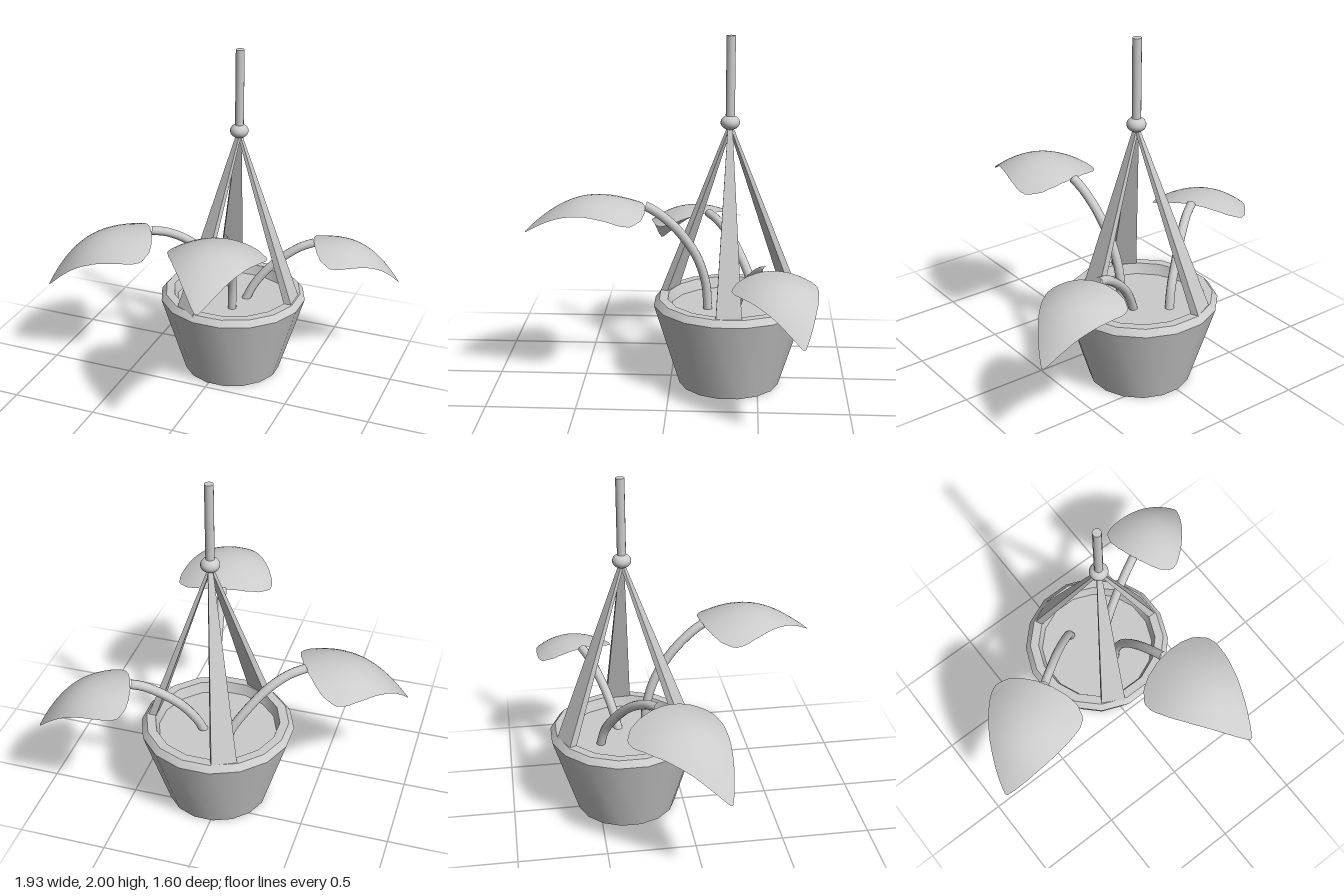
import * as THREE from 'three';
import { toCreasedNormals } from 'three/addons/utils/BufferGeometryUtils.js';

const V = (x, y, z) => new THREE.Vector3(x, y, z);
const material = new THREE.MeshStandardMaterial({ color: 0xcccccc });
const thinMaterial = new THREE.MeshStandardMaterial({ color: 0xcccccc, side: THREE.DoubleSide });

function part(name, geometry, mat = material) {
  const mesh = new THREE.Mesh(geometry, mat);
  mesh.name = name;
  return mesh;
}

// Faceted pot: outer wall, bevelled rim and soil in one profile
function makePot() {
  const profile = [
    [0, 0], [0.288, 0], [0.435, 0.475], [0.405, 0.51],
    [0.355, 0.51], [0.335, 0.45], [0, 0.45],
  ].map(([r, y]) => new THREE.Vector2(r, y));
  const geometry = new THREE.LatheGeometry(profile, 16, Math.PI / 16);
  const pot = part('pot', toCreasedNormals(geometry, 0.55));
  pot.position.set(0.043, 0, -0.335);
  return pot;
}

// Flat strap widening from the knot down to the rim
function makeStrap(top, base) {
  const geometry = new THREE.BoxGeometry(1, 1, 1);
  const p = geometry.attributes.position;
  const out = V(base.x - top.x, 0, base.z - top.z).normalize();
  const side = V(out.z, 0, -out.x);
  for (let i = 0; i < p.count; i++) {
    const t = 0.5 - p.getY(i);
    const v = top.clone().lerp(base, t)
      .addScaledVector(side, p.getX(i) * THREE.MathUtils.lerp(0.025, 0.145, t))
      .addScaledVector(out, p.getZ(i) * THREE.MathUtils.lerp(0.016, 0.045, t));
    p.setXYZ(i, v.x, v.y, v.z);
  }
  geometry.computeVertexNormals();
  return part('strap', geometry);
}

// Half-width of a leaf along its length, from stem to tip
const leafWidth = [
  [0, 0.05], [0.025, 0.14], [0.07, 0.215], [0.16, 0.275], [0.25, 0.28],
  [0.4, 0.245], [0.58, 0.185], [0.8, 0.1], [0.94, 0.04], [1, 0.008],
];

function widthAt(u) {
  const i = Math.max(1, leafWidth.findIndex(([s]) => s >= u));
  const [[s0, w0], [s1, w1]] = [leafWidth[i - 1], leafWidth[i]];
  return w0 + (w1 - w0) * (u - s0) / (s1 - s0);
}

// Arched leaf: a plane narrowed to the outline, bowed along its length
// and drooping towards both edges
function makeLeaf(base, tip) {
  const geometry = new THREE.PlaneGeometry(2, 1, 12, 28);
  const p = geometry.attributes.position;
  for (let i = 0; i < p.count; i++) {
    const u = Math.min(1, Math.max(0, 0.5 - p.getY(i))) ** 1.4;
    const x = p.getX(i) * widthAt(u);
    const y = 0.12 * Math.sin(Math.PI * u ** 0.95) - 0.095 * (x / 0.28) ** 2;
    p.setXYZ(i, x, y, u * 0.69);
  }
  geometry.computeVertexNormals();
  const leaf = part('leaf', geometry, thinMaterial);
  const d = tip.clone().sub(base);
  leaf.position.copy(base);
  leaf.rotation.set(Math.atan2(-d.y, Math.hypot(d.x, d.z)), Math.atan2(d.x, d.z), 0, 'YXZ');
  leaf.scale.setScalar(d.length() / 0.69);
  return leaf;
}

function makeStem(points) {
  const curve = new THREE.CatmullRomCurve3(points);
  return part('stem', new THREE.TubeGeometry(curve, 20, 0.026, 10));
}

export function createModel() {
  const model = new THREE.Group();
  model.name = 'hangingPlant';
  model.add(makePot());

  // Hanging rope and knot
  const rope = part('rope', new THREE.CylinderGeometry(0.025, 0.025, 0.48, 12));
  rope.position.set(0.075, 1.76, -0.327);
  const knot = part('knot', new THREE.SphereGeometry(0.053, 20, 14));
  knot.scale.y = 0.78;
  knot.position.set(0.075, 1.525, -0.327);
  model.add(rope, knot);

  // Three straps
  for (const base of [V(0.42, 0.48, -0.335), V(-0.108, 0.48, 0.02), V(-0.105, 0.48, -0.69)]) {
    model.add(makeStrap(V(0.075, 1.51, -0.327), base));
  }

  // Three stems, each ending in a leaf
  const plants = [
    {
      name: 'frontLeaf', tip: V(0.27, 0.94, 0.79),
      stem: [V(0.085, 0.44, -0.212), V(0.09, 0.6, -0.2), V(0.105, 0.77, -0.145),
        V(0.125, 0.93, -0.035), V(0.145, 1.03, 0.075), V(0.158, 1.07, 0.14)],
    },
    {
      name: 'rightLeaf', tip: V(-0.96, 0.56, 0.11),
      stem: [V(-0.045, 0.44, -0.485), V(-0.075, 0.55, -0.46), V(-0.15, 0.67, -0.405),
        V(-0.25, 0.785, -0.33), V(-0.35, 0.85, -0.255), V(-0.43, 0.87, -0.2)],
    },
    {
      name: 'leftLeaf', tip: V(0.96, 0.55, -0.72),
      stem: [V(0.115, 0.44, -0.365), V(0.155, 0.53, -0.385), V(0.225, 0.63, -0.418),
        V(0.32, 0.72, -0.463), V(0.41, 0.78, -0.503), V(0.48, 0.805, -0.535)],
    },
  ];
  for (const { name, tip, stem } of plants) {
    const group = new THREE.Group();
    group.name = name;
    group.add(makeStem(stem), makeLeaf(stem[stem.length - 1], tip));
    model.add(group);
  }
  return model;
}
